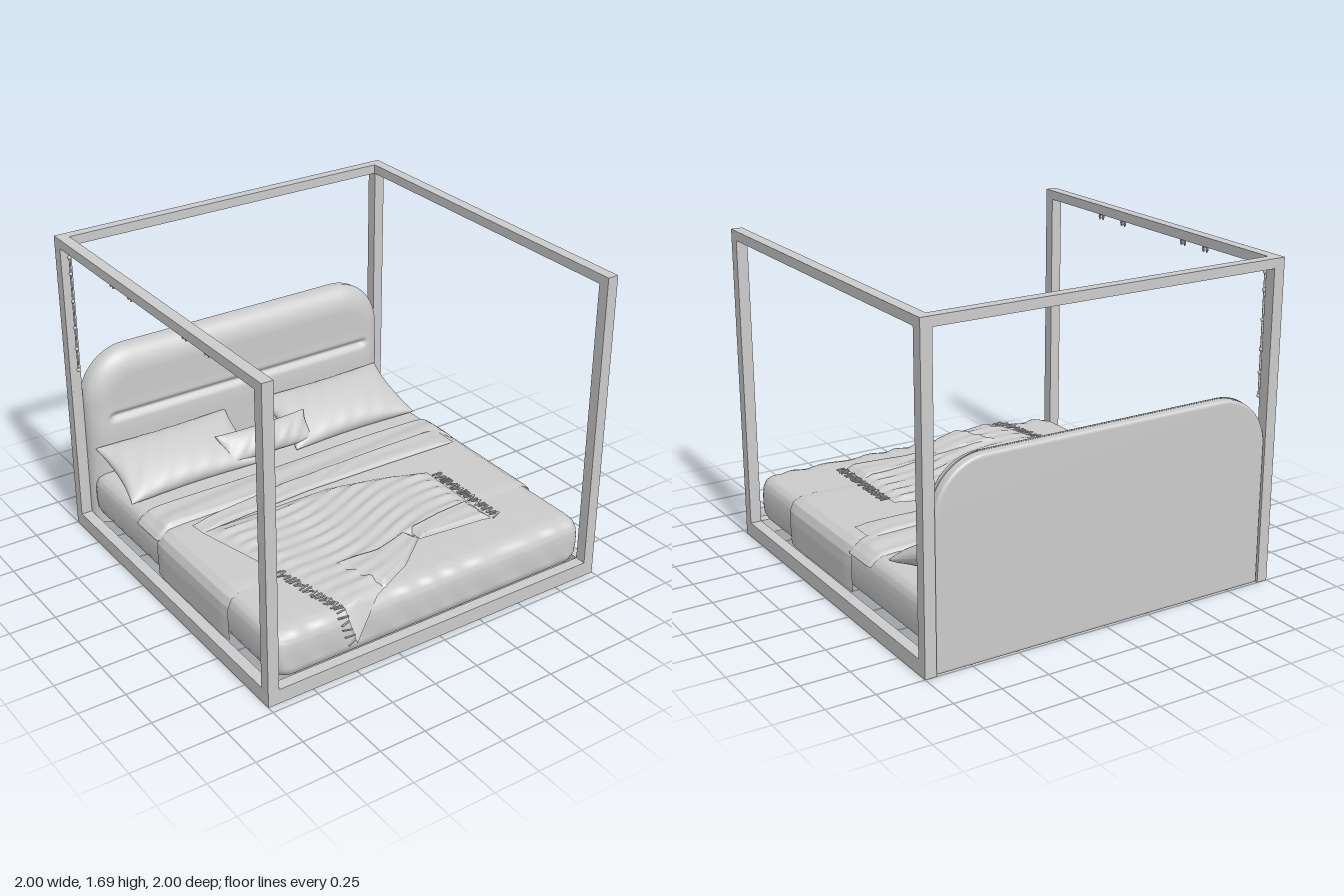
import * as THREE from 'three';
import { mergeVertices, mergeGeometries } from 'three/addons/utils/BufferGeometryUtils.js';

const grey = new THREE.MeshStandardMaterial({ color: 0xcccccc, side: THREE.DoubleSide });
grey.name = 'plain grey';

const { clamp, lerp, smoothstep } = THREE.MathUtils;

// Smooth sheet from a rule f(u, v) -> [x, y, z], u and v in 0..1
function surface(nu, nv, f) {
  const g = new THREE.PlaneGeometry(1, 1, nu, nv);
  const p = g.attributes.position;
  for (let i = 0; i < p.count; i++) p.setXYZ(i, ...f(p.getX(i) + 0.5, p.getY(i) + 0.5));
  g.deleteAttribute('uv');
  g.deleteAttribute('normal');
  const m = mergeVertices(g, 1e-5);
  m.computeVertexNormals();
  return m;
}

// Piecewise linear lookup in a short list of points
function along(points, t) {
  const s = clamp(t, 0, 1) * (points.length - 1);
  const i = Math.min(Math.floor(s), points.length - 2);
  return points[i].map((a, k) => lerp(a, points[i + 1][k], s - i));
}

export function createModel() {
  const model = new THREE.Group();
  const add = (name, geometry, parent = model) => {
    const m = new THREE.Mesh(geometry, grey);
    m.name = name;
    parent.add(m);
  };
  const box = (name, x0, x1, y0, y1, z0, z1) =>
    add(name, new THREE.BoxGeometry(x1 - x0, y1 - y0, z1 - z0)
      .translate((x0 + x1) / 2, (y0 + y1) / 2, (z0 + z1) / 2));

  // Canopy frame: posts, side rails, back top rail, front bottom rail
  for (const s of [-1, 1]) {
    const [x0, x1] = s < 0 ? [-1, -0.94] : [0.94, 1];
    box('frontPost', x0, x1, 0, 1.69, 0.9, 0.96);
    box('backPost', x0, x1, 0, 1.69, -1, -0.94);
    box('sideTopRail', x0, x1, 1.64, 1.69, -0.94, 0.9);
    box('sideBottomRail', x0, x1, 0, 0.08, -0.94, 0.9);
  }
  box('backTopRail', -0.94, 0.94, 1.64, 1.69, -1, -0.945);
  box('frontBottomRail', -0.94, 0.94, 0, 0.08, 0.9, 0.96);

  // Headboard: flat back panel and padded front with a stitched crease
  const outline = new THREE.Shape();
  outline.moveTo(-0.925, 0.015);
  outline.lineTo(0.925, 0.015);
  outline.lineTo(0.925, 0.74);
  outline.absellipse(0.665, 0.74, 0.26, 0.265, 0, Math.PI / 2, false);
  outline.lineTo(-0.665, 1.005);
  outline.absellipse(-0.665, 0.74, 0.26, 0.265, Math.PI / 2, Math.PI, false);
  outline.closePath();
  add('headboardBack', new THREE.ExtrudeGeometry(outline, {
    depth: 0.03, bevelThickness: 0.015, bevelSize: 0.015, bevelSegments: 3, curveSegments: 16,
  }).translate(0, 0, -0.98));
  add('headboardPadding', surface(80, 120, (u, v) => {
    const y = 0.03 + 0.99 * (1 - (1 - v) ** 2);
    const up = Math.max(y - 0.74, 0) / 0.28;
    const x = Math.sin((u - 0.5) * Math.PI) * (0.68 + 0.26 * Math.sqrt(Math.max(0, 1 - up * up)));
    const edge = 0.27 * (1 - Math.hypot(Math.max(Math.abs(x) - 0.68, 0) / 0.26, up));
    const round = Math.sqrt(Math.max(0, 1 - (1 - clamp(edge / 0.13, 0, 1)) ** 2));
    const crease = 0.025 * Math.exp(-(((y - 0.66) / 0.018) ** 2)) * smoothstep(0.84 - Math.abs(x), 0, 0.04);
    const depth = lerp(0.1, 0.088, smoothstep(y, 0.55, 0.75));
    return [x, y, -0.945 + depth * round - crease];
  }));

  // Mattress with duvet: hollow rounded shell with a hem turned in underneath
  const rings = [[0.13, 0.09], [0.05, 0.085], [0.02, 0.105], [0.004, 0.14], [0, 0.19], [0, 0.24], [0.004, 0.28],
    [0.016, 0.31], [0.04, 0.332], [0.08, 0.343], [0.2, 0.346], [0.5, 0.348], [0.92, 0.348]];
  add('mattress', surface(320, 36, (u, v) => {
    const [inset, y] = along(rings, v);
    const a = 0.935 - inset, b = 0.942 - inset, r = Math.max(0.09 - inset * 0.4, 0.005);
    const [sx, sz] = along([[-1, -1], [1, -1], [1, 1], [-1, 1], [-1, -1]], u);
    const qx = clamp(sx * a, r - a, a - r), qz = clamp(sz * b, r - b, b - r);
    const dx = sx * a - qx, dz = sz * b - qz, l = Math.hypot(dx, dz) || 1;
    const x = qx + dx / l * r, z = qz + dz / l * r;
    const front = smoothstep(z, 0.6, 0.9) * smoothstep(y, 0.1, 0.2);
    const fold = front * Math.sin(x * 34 + y * 9 + 2 * Math.sin(x * 7));
    return [x, y + 0.003 * fold, z - 0.005 * front + 0.005 * fold];
  }));

  // Covers wrapped across the bed, reaching down each side
  const wrap = (name, z0, z1, lift, low, bump) => {
    const path = [[-0.938, low], [-0.943, 0.22], [-0.94, 0.28], [-0.92, 0.322], [-0.88, 0.343], [-0.8, 0.348],
      [0, 0.35], [0.8, 0.348], [0.88, 0.343], [0.92, 0.322], [0.94, 0.28], [0.943, 0.22], [0.938, low]];
    for (const p of path) p[1] = Math.max(p[1], low);
    add(name, surface(120, 24, (u, v) => {
      const [x, y] = along(path, u);
      const z = lerp(z0, z1, v), tuck = Math.min(1, 12 * Math.min(v, 1 - v));
      const top = smoothstep(0.94 - Math.abs(x), 0, 0.1);
      return [x * (1 + lift * tuck), y + top * tuck * (lift + bump(x, v)), z];
    }));
  };
  wrap('blanketRunner', -0.18, 0.515, 0.007, 0.09, () => 0);
  wrap('blanketFold', -0.385, -0.16, 0.01, 0.3,
    (x, v) => 0.012 * v + 0.008 * Math.sin(v * 5 + x * 2.5) ** 2);

  // Thin cloth lying on the bed between two edge polylines of [x, z], falling over the foot end
  const clothY = (z, lift) => 0.358 + lift - 2.1 * Math.max(0, z - 0.912) - 0.012 * smoothstep(z, 0.82, 0.93);
  const cloth = (name, nu, nv, far, near, lift, ripple) =>
    add(name, surface(nu, nv, (u, v) => {
      const a = along(far, u), b = along(near, u);
      const x = lerp(a[0], b[0], v), z = lerp(a[1], b[1], v);
      const edge = Math.min(1, 14 * Math.min(u, 1 - u, v, 1 - v));
      const wave = Math.sin(z * 75 + x * 16 + 3 * Math.sin(x * 6)) * (0.7 + 0.3 * Math.sin(x * 17));
      return [x, clothY(z, lift * (0.3 + 0.7 * edge) + ripple * edge * (1 + wave)), z];
    }));
  cloth('sheetLip', 60, 20, [[-0.78, -0.1], [-0.2, -0.18], [0.3, -0.2], [0.85, -0.21]],
    [[-0.77, -0.01], [-0.1, -0.055], [0.4, -0.05], [0.85, -0.04]], 0.024, 0.002);
  const leftEdge = [[-0.77, -0.01], [-0.72, 0.2], [-0.62, 0.5], [-0.57, 0.8], [-0.52, 0.985]];
  cloth('throw', 90, 100, [[-0.77, -0.02], [-0.4, -0.02], [0, -0.02], [0.3, 0.05], [0.53, 0.14]],
    [[-0.52, 0.99], [-0.28, 0.88], [0.06, 0.6], [0.3, 0.64], [0.52, 0.69]], 0.014, 0.007);
  cloth('throwFoldedCorner', 40, 30, [[-0.41, 0.6], [-0.15, 0.62], [0.07, 0.57]],
    [[-0.29, 0.89], [-0.1, 0.8], [0.1, 0.64]], 0.03, 0.003);
  cloth('throwFoldedEnd', 40, 24, [[0.09, 0.56], [0.3, 0.52], [0.51, 0.5]],
    [[0.1, 0.65], [0.3, 0.67], [0.52, 0.69]], 0.03, 0.002);

  // Fringe tassels on both ends of the throw
  const tassels = [];
  const tassel = (x, z, y, side, i) => tassels.push(new THREE.BoxGeometry(0.055, 0.006, 0.008)
    .rotateY(0.35 * Math.sin(i * 2.4)).rotateZ(0.15 * Math.sin(i * 1.7)).translate(x + side * 0.025, y, z));
  for (let i = 0; i < 28; i++) {
    const [x, z] = along(leftEdge, 0.5 + 0.5 * i / 27);
    tassel(x, z, clothY(z, 0.008), -1, i);
    tassel(0.53, 0.19 + 0.5 * i / 27, 0.37, 1, i);
  }
  add('throwFringe', mergeGeometries(tassels));

  // Pillows: two puffed faces with pinched-in sides
  const pillow = (name, w, d, h, pos, tilt) => {
    const group = new THREE.Group();
    group.name = name;
    for (const s of [-1, 1]) {
      add(s > 0 ? 'pillowTop' : 'pillowBottom', surface(40, 30, (u, v) => {
        const a = Math.sin((u - 0.5) * Math.PI), b = Math.sin((v - 0.5) * Math.PI);
        const puff = Math.max(0, (1 - a * a) * (1 - b * b)) ** 0.42;
        return [w * a * (1 - 0.07 * (1 - b * b)), s * h * puff + 0.004 * puff * Math.sin(a * 19 + b * 5),
          d * b * (1 - 0.1 * (1 - a * a))];
      }), group);
    }
    group.position.set(...pos);
    group.rotation.x = tilt;
    model.add(group);
  };
  pillow('rightPillow', 0.4, 0.21, 0.085, [-0.53, 0.432, -0.66], 0.36);
  pillow('leftPillow', 0.4, 0.21, 0.085, [0.49, 0.432, -0.66], 0.36);
  pillow('smallPillow', 0.285, 0.09, 0.06, [-0.055, 0.44, -0.55], 0.85);

  // Curtain hooks under one side rail
  for (const z of [0.46, 0.26, -0.26, -0.44]) {
    for (const r of [0.02, 0.011]) {
      add('curtainHook', new THREE.TorusGeometry(r, 0.004, 6, 16, Math.PI * 1.6)
        .rotateZ(-0.9).rotateY(Math.PI / 2).translate(-0.97, 1.62, z));
    }
  }

  // Hanging cord with beads beside the back post
  add('cord', new THREE.CylinderGeometry(0.005, 0.005, 0.68, 8).translate(-0.97, 1.3, -0.9));
  for (const y of [1.6, 1.51, 1.36, 1.21, 1.09, 0.97]) {
    add('cordBead', new THREE.SphereGeometry(0.011, 10, 8).translate(-0.97, y, -0.9));
  }

  return model;
}
